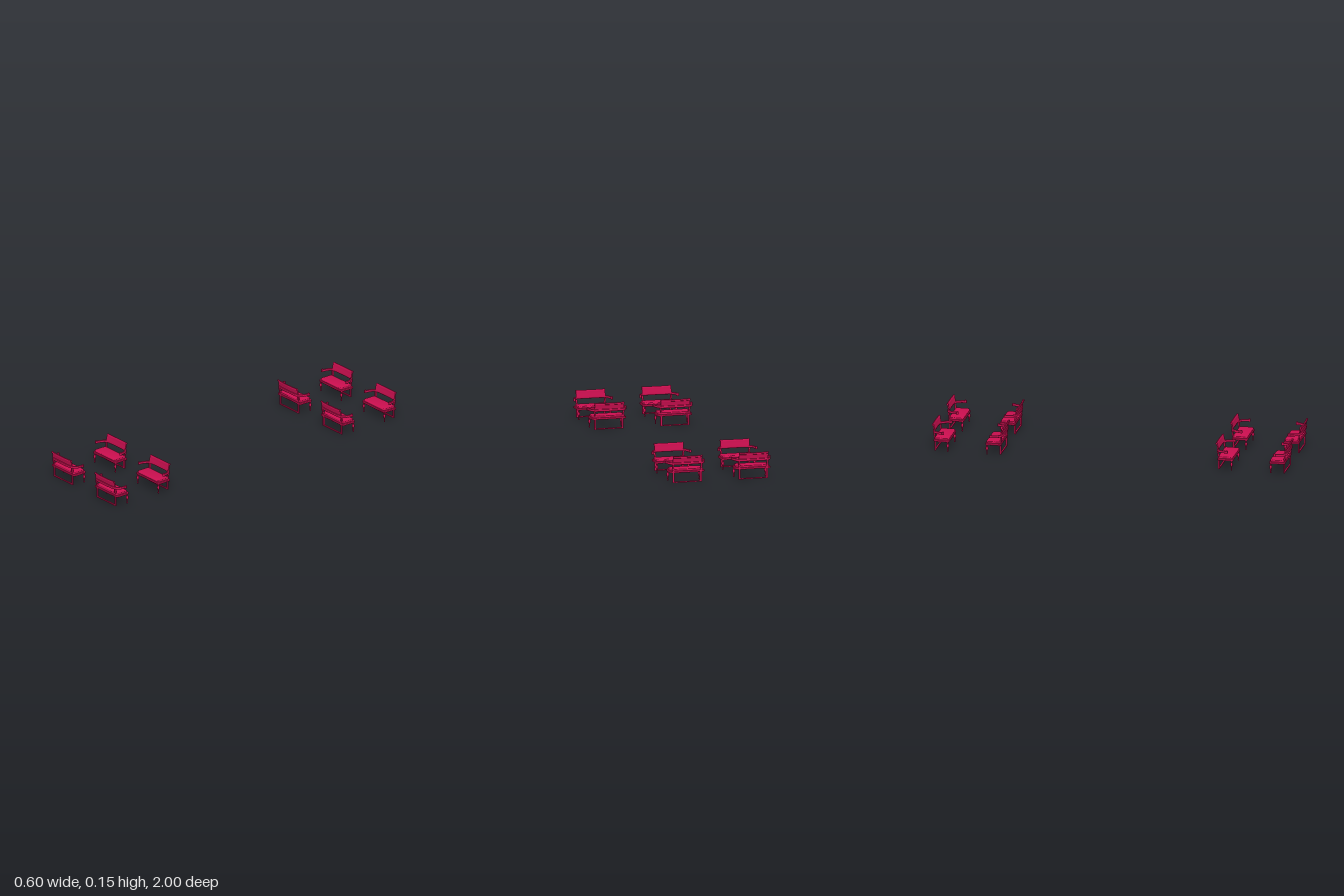
import * as THREE from 'three';
import { toCreasedNormals } from 'three/addons/utils/BufferGeometryUtils.js';

const V = (x, y, z) => new THREE.Vector3(x, y, z);
const material = new THREE.MeshStandardMaterial({ color: 0xcc0f50 });

function mesh(name, geometry) {
  const m = new THREE.Mesh(geometry, material);
  m.name = name;
  return m;
}

// Extrudes a plan outline (x, -z) upward, with rounded edges, from y0 to y1
function slab(name, shape, y0, y1, bevel) {
  const g = new THREE.ExtrudeGeometry(shape, {
    depth: y1 - y0 - 2 * bevel, bevelSize: bevel, bevelThickness: bevel,
    bevelOffset: -bevel, bevelSegments: 3, curveSegments: 6,
  });
  g.rotateX(-Math.PI / 2).translate(0, y0 + bevel, 0);
  return mesh(name, toCreasedNormals(g, 0.7));
}

// Seat plan: rectangle with rounded corners, larger at the front
function seatShape(w, back, front, rb, rf) {
  const s = new THREE.Shape();
  s.moveTo(-w + rf, -front);
  s.lineTo(w - rf, -front);
  s.quadraticCurveTo(w, -front, w, -front + rf);
  s.lineTo(w, -back - rb);
  s.quadraticCurveTo(w, -back, w - rb, -back);
  s.lineTo(-w + rb, -back);
  s.quadraticCurveTo(-w, -back, -w, -back - rb);
  s.lineTo(-w, -front + rf);
  s.quadraticCurveTo(-w, -front, -w + rf, -front);
  return s;
}

// Square bar between two points
function bar(name, a, b, w, d) {
  const m = mesh(name, new THREE.BoxGeometry(w, a.distanceTo(b), d));
  m.position.copy(a).lerp(b, 0.5);
  m.quaternion.setFromUnitVectors(V(0, 1, 0), b.clone().sub(a).normalize());
  return m;
}

// Arm rail: one band bent round the back and out to both hands
function armRail() {
  const half = [[0.05, -0.04], [0.08, -0.035], [0.093, -0.023], [0.101, -0.005], [0.106, 0.02]];
  const pts = [...half.map(([x, z]) => V(-x, -z, 0)).reverse(), V(0, 0.041, 0),
    ...half.map(([x, z]) => V(x, -z, 0))];
  const curve = new THREE.CatmullRomCurve3(pts);
  const inner = [], outer = [];
  for (let i = 0; i <= 48; i++) {
    const p = curve.getPoint(i / 48), t = curve.getTangent(i / 48);
    const w = 0.0048;
    outer.push(new THREE.Vector2(p.x - t.y * w, p.y + t.x * w));
    inner.push(new THREE.Vector2(p.x + t.y * w, p.y - t.x * w));
  }
  return slab('armRail', new THREE.Shape([...inner, ...outer.reverse()]), 0.101, 0.114, 0.002);
}

// Back panel: rolled-top profile carried across the width, bowed in plan
function backPanel() {
  const profile = [[-0.033, 0.11], [-0.035, 0.125], [-0.038, 0.137], [-0.038, 0.141],
    [-0.039, 0.146], [-0.043, 0.149], [-0.048, 0.148], [-0.05, 0.144], [-0.049, 0.14],
    [-0.045, 0.138], [-0.042, 0.125], [-0.04, 0.11]];
  const W = 0.083;
  const g = new THREE.ExtrudeGeometry(
    new THREE.Shape(profile.map(([z, y]) => new THREE.Vector2(z, y))),
    { depth: 2 * W, steps: 16, bevelEnabled: false });
  g.rotateY(-Math.PI / 2).translate(W, 0, 0);
  const p = g.attributes.position;
  for (let i = 0; i < p.count; i++) {
    const k = (p.getX(i) / W) ** 2;
    p.setZ(i, p.getZ(i) + 0.003 * k);
    if (p.getY(i) > 0.137) p.setY(i, p.getY(i) + 0.002 * k * k);
  }
  return mesh('backPanel', toCreasedNormals(g, 0.8));
}

// One bench facing +z
function makeBench() {
  const bench = new THREE.Group();
  bench.add(
    slab('seatFrame', seatShape(0.099, -0.035, 0.053, 0.012, 0.016), 0.055, 0.065, 0.0015),
    slab('seatCushion', seatShape(0.092, -0.032, 0.049, 0.012, 0.016), 0.063, 0.076, 0.005),
    armRail(), backPanel(),
    bar('backStretcher', V(-0.083, 0.003, -0.029), V(0.083, 0.003, -0.029), 0.006, 0.008));

  const legProfile = [[0, 0], [0.0035, 0], [0.0042, 0.004], [0.0028, 0.008], [0.0035, 0.02],
    [0.0045, 0.024], [0.0068, 0.029], [0.0075, 0.035], [0.006, 0.041], [0.0035, 0.044],
    [0.0052, 0.047], [0.0035, 0.05], [0.0058, 0.053], [0.0058, 0.057]]
    .map(([r, y]) => new THREE.Vector2(r, y));
  for (const s of [-1, 1]) {
    // Turned front leg
    const leg = mesh('frontLeg', new THREE.LatheGeometry(legProfile, 16));
    leg.position.set(s * 0.09, 0, 0.044);
    // Scrolled hand at the end of the arm
    const hand = mesh('armScroll', toCreasedNormals(
      new THREE.CylinderGeometry(0.0068, 0.0068, 0.014, 16), 0.7));
    hand.position.set(s * 0.1065, 0.108, 0.02);
    const cap = mesh('armScrollCap', new THREE.SphereGeometry(0.005, 14, 8));
    cap.scale.y = 0.6;
    cap.position.set(s * 0.1065, 0.115, 0.02);
    bench.add(leg, hand, cap,
      bar('backLeg', V(s * 0.078, 0, -0.029), V(s * 0.078, 0.057, -0.029), 0.01, 0.008),
      bar('backPost', V(s * 0.077, 0.06, -0.029), V(s * 0.083, 0.105, -0.034), 0.009, 0.008));
  }
  return bench;
}

export function createModel() {
  const model = new THREE.Group();
  model.name = 'benchSet';
  const source = makeBench();
  // Two sets of four; the benches in each set face one another
  for (const x of [-0.188, 0.188]) {
    for (const [z, turn] of [[0.95, Math.PI], [0.642, 0], [-0.642, Math.PI], [-0.95, 0]]) {
      const bench = source.clone();
      bench.name = 'bench';
      bench.position.set(x, 0, z);
      bench.rotation.y = turn;
      model.add(bench);
    }
  }
  return model;
}
